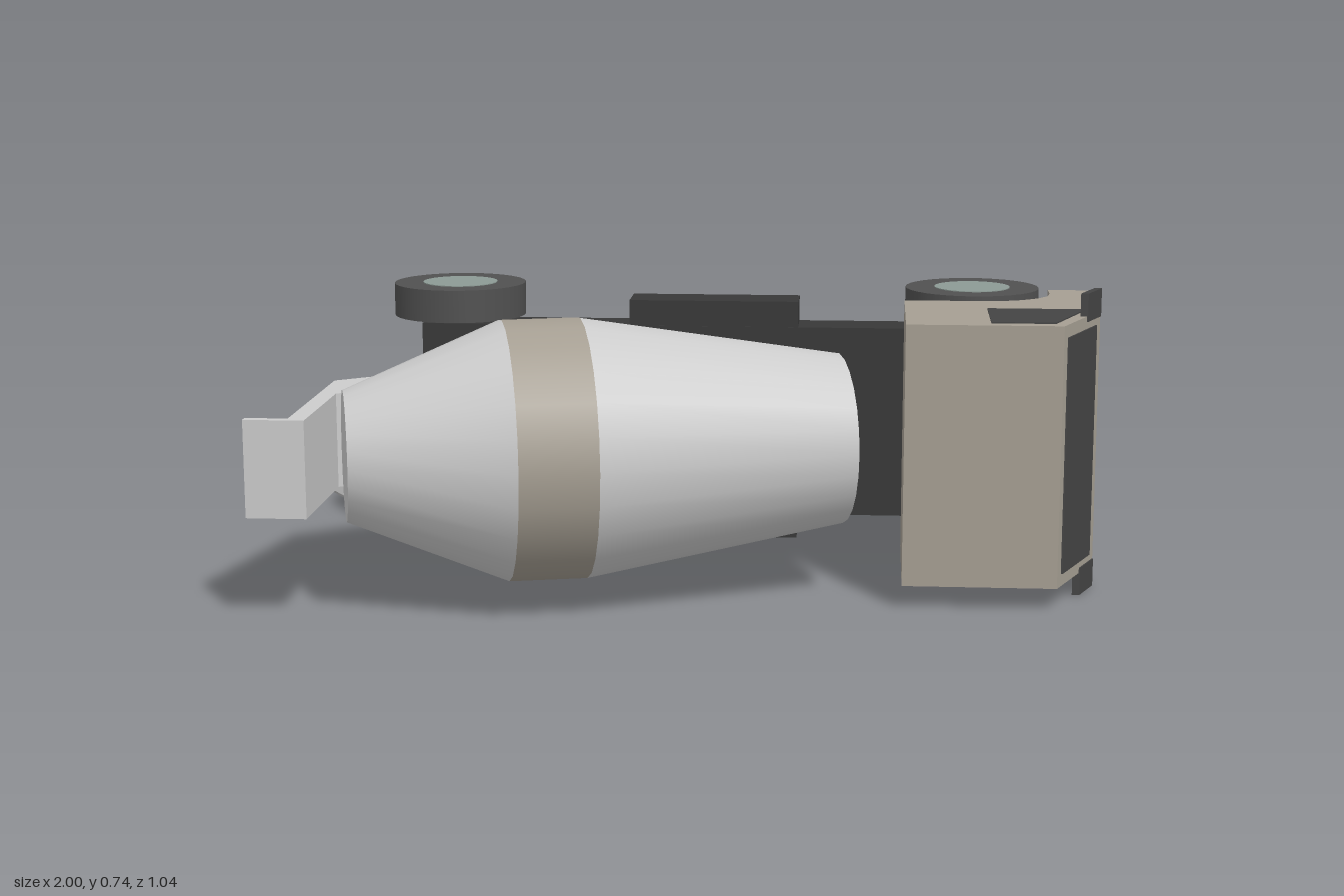
import * as THREE from 'three';

const mat = (color) => new THREE.MeshStandardMaterial({ color, flatShading: false });
const GREY = mat(0xcccccc), BEIGE = mat(0xa59e92), DARK = mat(0x383838);
const TYRE = mat(0x505050), HUB = mat(0x8c9a94), GLASS = mat(0x444444);
const MID = 0.369; // y of the truck's own centre plane (it lies on its side)

export function createModel() {
  const root = new THREE.Group();
  const add = (name, geometry, material, parent = root) => {
    const mesh = new THREE.Mesh(geometry, material);
    mesh.name = name;
    parent.add(mesh);
    return mesh;
  };
  const outline = (pts) => new THREE.Shape(pts.map(([a, b]) => new THREE.Vector2(a, b)));

  // Side profile in (x, z), extruded from y0 to y1
  const profile = (pts, y0, y1) =>
    new THREE.ExtrudeGeometry(outline(pts), { depth: y1 - y0, bevelEnabled: false })
      .rotateX(Math.PI / 2).translate(0, y1, 0);
  // Profile in (z, y), extruded from x0 to x1
  const crossways = (pts, x0, x1) =>
    new THREE.ExtrudeGeometry(outline(pts), { depth: x1 - x0, bevelEnabled: false })
      .rotateY(-Math.PI / 2).translate(x1, 0, 0);
  const box = (x0, x1, y0, y1, z0, z1) =>
    new THREE.BoxGeometry(x1 - x0, y1 - y0, z1 - z0)
      .translate((x0 + x1) / 2, (y0 + y1) / 2, (z0 + z1) / 2);

  // Chassis with a wider middle section
  add('chassis', box(-0.705, 0.87, 0.13, 0.608, -0.318, -0.2), DARK);
  add('sideTanks', box(-0.18, 0.242, 0.068, 0.672, -0.316, -0.201), DARK);

  // Wheels with hub discs
  for (const x of [-0.633, 0.677]) {
    for (const side of [-1, 1]) {
      const wheel = new THREE.Group();
      wheel.name = (x > 0 ? 'front' : 'rear') + 'Wheel';
      wheel.position.set(x, MID + side * 0.282, -0.357);
      add('tyre', new THREE.CylinderGeometry(0.168, 0.168, 0.082, 32), TYRE, wheel);
      add('hub', new THREE.CylinderGeometry(0.095, 0.095, 0.086, 32), HUB, wheel);
      root.add(wheel);
    }
  }

  // Cab with a wheel arch cut into its lower edge
  add('cab', profile([
    [0.505, 0.208], [0.87, 0.208], [0.973, -0.043], [0.973, -0.318], [0.87, -0.318],
    [0.862, -0.275], [0.835, -0.235], [0.795, -0.204], [0.75, -0.186], [0.7, -0.18], [0.505, -0.18],
  ], 0.056, 0.682), BEIGE);
  add('bumper', box(0.87, 0.995, 0.056, 0.682, -0.388, -0.317), BEIGE);

  // Windscreen on the sloping front face
  const slope = (z, out) => [0.973 - (z + 0.043) * 0.41 + out, z];
  add('windscreen', profile(
    [slope(-0.01, 0.004), slope(0.184, 0.004), slope(0.184, -0.01), slope(-0.01, -0.01)],
    0.086, 0.652), GLASS);

  // Grille with a six-sided badge plate
  add('grille', box(0.96, 0.977, 0.086, 0.652, -0.258, -0.1), GLASS);
  add('grillePlate', new THREE.CylinderGeometry(0.037, 0.037, 0.012, 6)
    .rotateZ(-Math.PI / 2).translate(0.976, MID, -0.18), GREY);

  // Paired parts: headlights, side windows, mirrors
  for (const side of [-1, 1]) {
    const y = (d) => MID + side * d;
    const span = (a, b) => [Math.min(y(a), y(b)), Math.max(y(a), y(b))];
    add('headlight', box(0.98, 0.998, ...span(0.178, 0.283), -0.374, -0.322), GREY);
    add('sideWindow', profile(
      [[0.703, -0.043], [0.938, -0.043], [0.853, 0.174], [0.703, 0.174]],
      ...span(0.3, 0.316)), GLASS);
    add('mirror', profile(
      [slope(-0.04, 0.003), slope(0.055, 0.003), slope(0.055, -0.015), slope(-0.04, -0.015)],
      ...span(0.3, 0.368)), GLASS);
  }

  // Mixer drum: three tapered rings on a tilted axis, from front to rear
  const drum = new THREE.Group();
  drum.name = 'mixerDrum';
  drum.position.set(0.349, MID + 0.003, 0.01);
  drum.quaternion.setFromUnitVectors(
    new THREE.Vector3(0, 1, 0), new THREE.Vector3(-0.967, 0, 0.255).normalize());
  const ring = (name, a, b, ra, rb, material) =>
    add(name, new THREE.CylinderGeometry(rb, ra, b - a, 24).translate(0, (a + b) / 2, 0), material, drum);
  ring('drumFront', 0, 0.629, 0.207, 0.311, GREY);
  ring('drumBand', 0.629, 0.814, 0.311, 0.31, BEIGE);
  ring('drumRear', 0.814, 1.188, 0.31, 0.155, GREY);
  root.add(drum);

  // Rear support: strut, post and top plate
  add('rearSupport', profile([
    [-0.9, -0.05], [-0.7, -0.2], [-0.415, -0.2], [-0.858, 0.125],
    [-0.858, 0.463], [-1, 0.463], [-1, 0.44], [-0.9, 0.44],
  ], 0.255, 0.485), GREY);

  // Discharge chute: sloping floor with two side walls
  const strip = (depth) => [
    [-0.195, 0.255], [0.45, 0.482], [0.45, 0.482 - depth], [-0.195, 0.255 - depth]];
  add('chuteFloor', crossways(strip(0.02), -1, -0.9), GREY);
  for (const x of [-1, -0.91]) add('chuteWall', crossways(strip(0.105), x, x + 0.01), GREY);

  return root;
}
